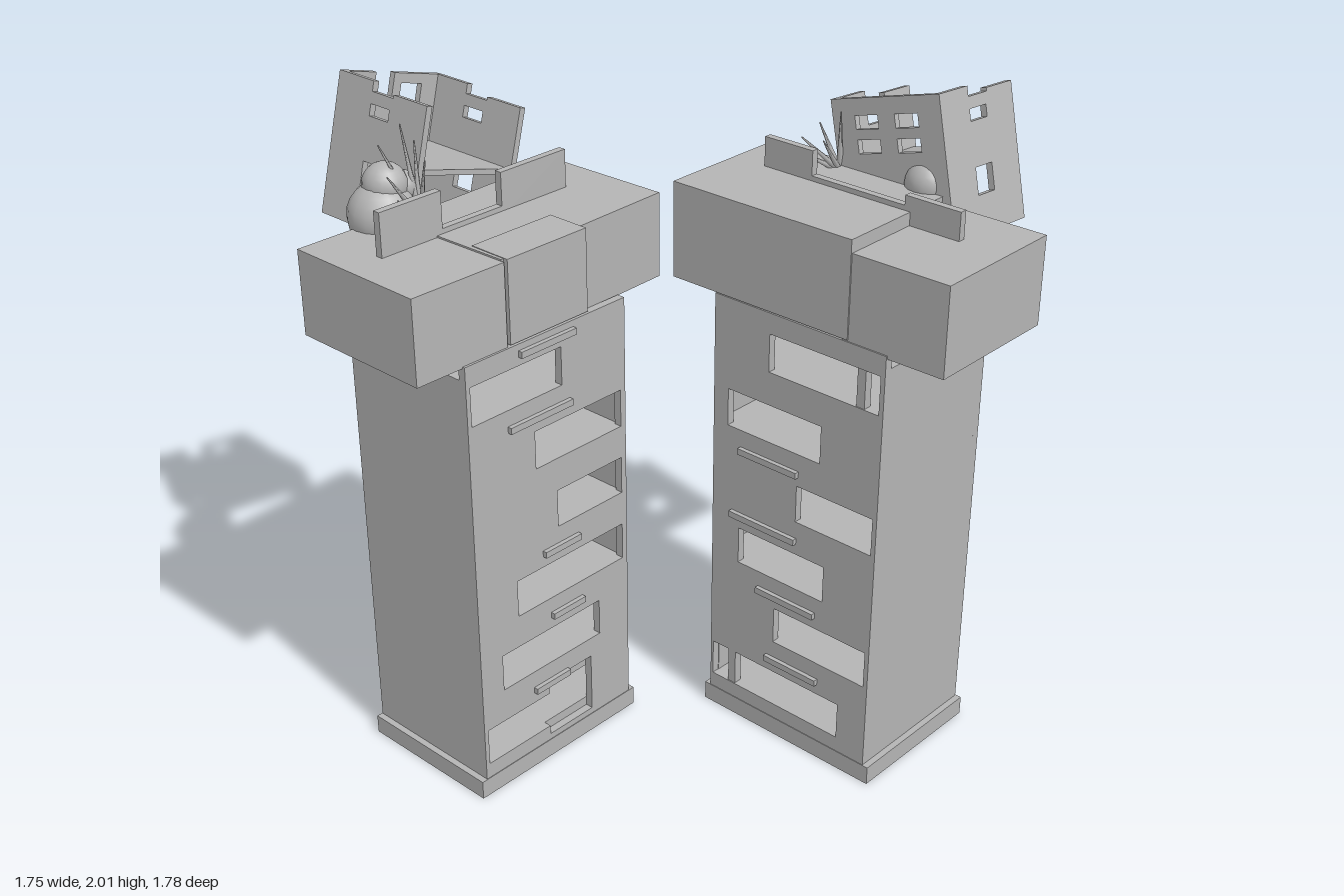
import * as THREE from 'three';

const stone = new THREE.MeshStandardMaterial({ color: 0xb4b4b4 });
stone.name = 'grey stone';

function add(parent, name, geometry, x = 0, y = 0, z = 0) {
  const m = new THREE.Mesh(geometry, stone);
  m.name = name;
  m.position.set(x, y, z);
  parent.add(m);
  return m;
}

// box given by its min and max on each axis
function block(parent, name, x0, x1, y0, y1, z0, z1) {
  return add(parent, name, new THREE.BoxGeometry(x1 - x0, y1 - y0, z1 - z0),
    (x0 + x1) / 2, (y0 + y1) / 2, (z0 + z1) / 2);
}

const toPoints = (list) => list.map(([x, y]) => new THREE.Vector2(x, y));
const rect = (x0, x1, y0, y1) => [[x0, y0], [x1, y0], [x1, y1], [x0, y1]];

// flat wall in the xy plane with holes, growing towards +z
function wall(outline, holes, thickness) {
  const shape = new THREE.Shape(toPoints(outline));
  holes.forEach((h) => shape.holes.push(new THREE.Path(toPoints(h))));
  return new THREE.ExtrudeGeometry(shape, { depth: thickness, bevelEnabled: false });
}

// window joined with a taller niche
function windowWithNiche([a, b, c, d], [x0, x1, y0, y1]) {
  const p = [[x0, y0], [x1, y0]];
  if (b > x1) p.push([x1, c], [b, c], [b, d], [x1, d]);
  p.push([x1, y1], [x0, y1]);
  if (a < x0) p.push([x0, d], [a, d], [a, c], [x0, c]);
  return p;
}

const ROWS = [[0.11, 0.23], [0.34, 0.46], [0.565, 0.685], [0.795, 0.915], [1.02, 1.14], [1.245, 1.365]];
const HALF = 0.305, DEPTH = 0.24, T = 0.025;

function tower(spec) {
  const g = new THREE.Group();
  const outline = rect(-HALF, HALF, 0, 1.43);
  const frontHoles = spec.front.map(([a, b], i) => {
    const w = [a, b, ...ROWS[i]];
    return spec.niches[i] ? windowWithNiche(w, spec.niches[i]) : rect(...w);
  });
  const backHoles = [];
  spec.back.forEach((w, i) => { if (w) backHoles.push(rect(...w, ...ROWS[i])); });
  add(g, 'frontWall', wall(outline, frontHoles, T), 0, 0, DEPTH - T);
  add(g, 'backWall', wall(outline, backHoles, T), 0, 0, -DEPTH);
  for (const s of [-1, 1]) {
    const x = s * (HALF - 0.006);
    block(g, 'sideWall', x - 0.006, x + 0.006, 0, 1.385, -DEPTH + T, DEPTH - T);
  }

  // floors between the window rows
  for (let i = 0; i <= ROWS.length; i++) {
    const y0 = i ? ROWS[i - 1][1] : 0.005;
    const y1 = i < ROWS.length ? ROWS[i][0] : 1.385;
    block(g, 'floor', -HALF + 0.01, HALF - 0.01, y0, y1, -DEPTH + T, DEPTH - T);
  }
  block(g, 'base', -0.325, 0.325, 0, 0.06, -DEPTH - 0.002, DEPTH + 0.002);

  // window posts
  spec.posts.forEach((x, i) => {
    if (x !== null) block(g, 'windowPost', x - 0.014, x + 0.014, ...ROWS[i], -DEPTH + 0.003, -DEPTH + 0.03);
  });
  // narrow ledges on both faces
  spec.ledges.forEach(([x0, x1, y, s]) => {
    const z = s * DEPTH;
    block(g, 'ledge', x0, x1, y - 0.01, y + 0.01, z - 0.014, z + 0.014);
  });

  // heavy top blocks
  spec.blocks.forEach(([x0, x1, y0, y1, z0, z1, turn]) => {
    block(g, 'topBlock', x0, x1, y0, y1, z0, z1).rotation.y = turn;
  });
  // broken parapet, low in the middle
  spec.parapet.forEach((p) => block(g, 'parapet', ...p, -0.045 + spec.parapetZ, -0.022 + spec.parapetZ));
  return g;
}

// tilted ruined room, open at +z
function room(backOutline, backHoles, depth) {
  const g = new THREE.Group();
  const w = 0.18, h = 0.21, d = depth / 2;
  add(g, 'roomBackWall', wall(backOutline, backHoles, 0.02), 0, 0, -d);
  for (const s of [-1, 1]) {
    const side = [[-d, -h], [d, -h], [d, h - 0.02], [0.05, h - 0.02], [0.05, h - 0.03],
      [-0.04, h - 0.03], [-0.04, h], [-d, h]];
    const holes = [rect(-0.04, 0.04, -0.1, -0.02), rect(-0.04, 0.04, 0.11, 0.145)];
    const m = add(g, 'roomSideWall', wall(side, holes, 0.02), s * w - 0.01, 0, 0);
    m.rotation.y = -Math.PI / 2;
    m.position.x += 0.02;
  }
  block(g, 'roomFloor', -w, w, -0.008, 0.008, -d, d - 0.01);
  return g;
}

// bare twigs fanning out from one point
function twigs(parent, start, ends) {
  const a = new THREE.Vector3(...start);
  ends.forEach((e) => {
    const dir = new THREE.Vector3(...e).sub(a);
    const m = add(parent, 'twig', new THREE.CylinderGeometry(0.002, 0.011, dir.length(), 6));
    m.position.copy(a).addScaledVector(dir, 0.5);
    m.quaternion.setFromUnitVectors(new THREE.Vector3(0, 1, 0), dir.normalize());
  });
}

function bush(parent, x, y, z, r) {
  add(parent, 'bush', new THREE.SphereGeometry(r, 16, 12), x, y, z);
}

export function createModel() {
  const model = new THREE.Group();
  const tilt = -Math.PI / 12;

  // rear tower
  const rear = tower({
    front: [[-0.29, 0.14], [-0.22, 0.18], [-0.15, 0.285], [0.02, 0.285], [-0.06, 0.285], [-0.29, 0.05]],
    back: [[-0.29, 0.14], [-0.28, 0], null, [-0.29, 0.14], [-0.14, 0.285], [-0.24, 0.28]],
    niches: { 0: [-0.04, 0.14, 0.08, 0.275] },
    posts: [-0.2, null, null, null, 0.225, -0.085],
    ledges: [[-0.1, 0.04, 0.275, 1], [-0.02, 0.11, 0.505, 1], [-0.045, 0.1, 0.73, 1], [-0.16, 0.08, 1.185, 1],
      [-0.11, 0.1, 1.4, 1], [-0.05, 0.12, 0.275, -1], [0, 0.22, 0.505, -1], [-0.21, -0.03, 0.73, -1],
      [-0.1, 0.1, 1.185, -1]],
    blocks: [[-0.46, -0.14, 1.425, 1.68, -0.237, 0.232, -0.01], [-0.15, 0.485, 1.425, 1.685, -0.198, 0.214, 0.03],
      [-0.135, 0.16, 1.435, 1.687, 0.1, 0.238, 0]],
    parapet: [[-0.345, -0.13, 1.67, 1.81], [-0.13, 0.09, 1.67, 1.7], [0.09, 0.34, 1.67, 1.8]],
    parapetZ: 0,
  });
  rear.name = 'rearTower';
  rear.position.set(-0.41, 0, -0.31);
  const rearRoom = room(
    [[-0.18, -0.21], [0.18, -0.21], [0.18, 0.21], [0.0, 0.21], [0.0, 0.12], [-0.07, 0.12], [-0.07, 0.21], [-0.18, 0.21]],
    [rect(0.03, 0.11, 0.1, 0.18), rect(-0.04, 0.04, -0.12, -0.04)], 0.38);
  rearRoom.name = 'rearRoom';
  rearRoom.position.set(0.125, 1.742, -0.39);
  rearRoom.rotation.z = tilt;
  rear.add(rearRoom);
  bush(rear, -0.175, 1.7, -0.22, 0.1);
  bush(rear, -0.16, 1.785, -0.22, 0.065);
  bush(rear, -0.11, 1.77, -0.21, 0.045);
  twigs(rear, [-0.09, 1.68, -0.16], [[-0.23, 1.85, -0.12], [-0.19, 1.91, -0.2], [-0.08, 1.9, -0.18],
    [-0.13, 1.88, -0.08], [-0.11, 1.95, -0.2], [-0.24, 1.8, -0.07]]);
  model.add(rear);

  // near tower, a quarter turn round
  const near = tower({
    front: [[-0.015, 0.295], [-0.075, 0.295], [-0.125, 0.105], [-0.105, 0.295], [-0.285, 0.155], [-0.285, 0.025]],
    back: [[-0.2, 0.295], [-0.29, 0.055], [-0.125, 0.2], [-0.29, -0.015], [-0.095, 0.25], [-0.29, 0.1]],
    niches: { 2: [-0.215, -0.075, 0.53, 0.71], 5: [-0.045, 0.075, 1.21, 1.385] },
    posts: [0.22, null, null, null, null, -0.225],
    ledges: [[-0.035, 0.075, 0.275, 1], [-0.11, 0.115, 0.505, 1], [-0.21, 0, 0.73, 1], [-0.24, -0.065, 0.955, 1],
      [-0.12, 0.08, 0.275, -1], [-0.1, 0.12, 0.505, -1], [-0.02, 0.23, 0.73, -1], [-0.02, 0.2, 0.955, -1]],
    blocks: [[-0.485, -0.15, 1.42, 1.69, -0.235, 0.218, 0.01], [-0.17, 0.465, 1.435, 1.73, -0.243, 0.212, 0.008]],
    parapet: [[-0.335, -0.15, 1.68, 1.775], [-0.15, 0.175, 1.68, 1.745], [0.175, 0.35, 1.68, 1.82]],
    parapetZ: 0.065,
  });
  near.name = 'nearTower';
  near.position.set(0.335, 0, 0.405);
  near.rotation.y = Math.PI / 2;
  const nearRoom = room(rect(-0.18, 0.18, -0.21, 0.21),
    [rect(-0.11, -0.03, 0.12, 0.16), rect(0.03, 0.11, 0.12, 0.16), rect(-0.11, -0.03, 0.05, 0.09),
      rect(0.03, 0.11, 0.05, 0.09)], 0.35);
  nearRoom.name = 'nearRoom';
  nearRoom.position.set(0.01, 1.747, 0.35);
  nearRoom.rotation.set(0.07, 0, tilt);
  near.add(nearRoom);
  bush(near, -0.09, 1.74, 0.215, 0.07);
  bush(near, -0.06, 1.7, 0.24, 0.05);
  twigs(near, [0.2, 1.71, 0.18], [[0.2, 1.86, 0], [0.22, 1.8, 0.03], [0.18, 1.9, 0.15],
    [0.17, 1.84, 0.06], [0.24, 1.86, 0.13]]);
  model.add(near);

  return model;
}
